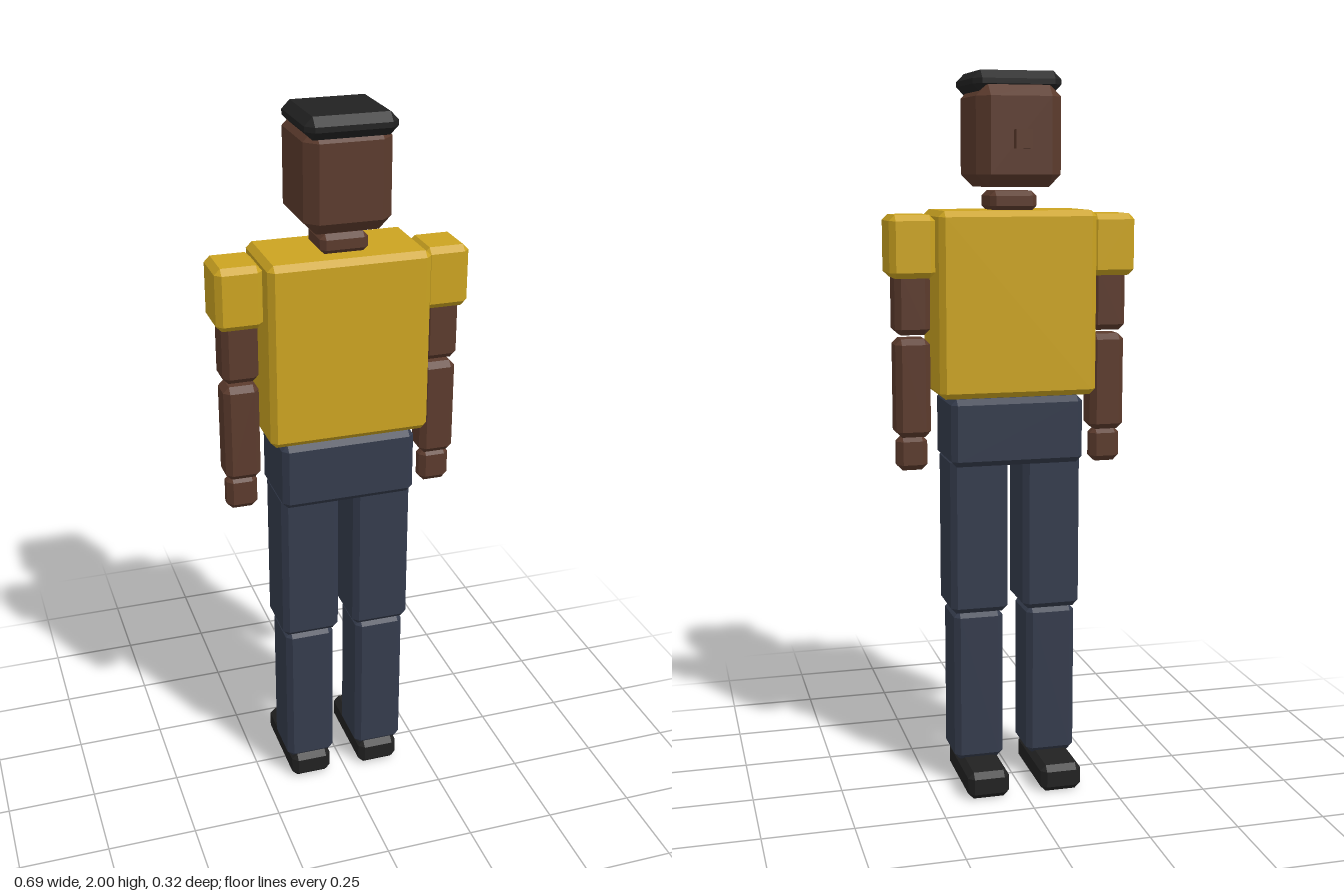
import * as THREE from 'three';
import { ConvexGeometry } from 'three/addons/geometries/ConvexGeometry.js';

const flat = (name, color) => {
  const m = new THREE.MeshStandardMaterial({ color });
  m.name = name;
  return m;
};

// Box with every edge cut off by a flat chamfer of width b
function chamferBox(w, h, d, b) {
  const points = [];
  for (const sx of [-1, 1]) for (const sy of [-1, 1]) for (const sz of [-1, 1]) {
    const [x, y, z] = [w / 2, h / 2, d / 2];
    points.push(
      new THREE.Vector3(sx * x, sy * (y - b), sz * (z - b)),
      new THREE.Vector3(sx * (x - b), sy * y, sz * (z - b)),
      new THREE.Vector3(sx * (x - b), sy * (y - b), sz * z)
    );
  }
  return new ConvexGeometry(points);
}

export function createModel() {
  const model = new THREE.Group();
  model.name = 'blockFigure';
  const skin = flat('brownSkin', 0x5c3b2d);
  const shirt = flat('mustardShirt', 0xcca421);
  const trousers = flat('navyTrousers', 0x353c4d);
  const black = flat('black', 0x222222);

  // Adds a block given its extents on each axis
  function block(parent, name, material, [x0, x1], [y0, y1], [z0, z1], bevel) {
    const [w, h, d] = [x1 - x0, y1 - y0, z1 - z0];
    const geometry = bevel ? chamferBox(w, h, d, bevel) : new THREE.BoxGeometry(w, h, d);
    const mesh = new THREE.Mesh(geometry, material);
    mesh.name = name;
    mesh.position.set((x0 + x1) / 2, (y0 + y1) / 2, (z0 + z1) / 2);
    parent.add(mesh);
  }

  // Head, with the face towards -z
  const head = new THREE.Group();
  head.name = 'headGroup';
  model.add(head);
  block(head, 'head', skin, [-0.117, 0.117], [1.695, 1.965], [-0.108, 0.143], 0.033);
  block(head, 'nose', skin, [-0.022, 0.022], [1.795, 1.845], [-0.137, -0.1], 0);
  block(head, 'hair', black, [-0.122, 0.122], [1.942, 2], [-0.08, 0.162], 0.022);
  block(head, 'neck', skin, [-0.065, 0.065], [1.63, 1.685], [-0.032, 0.095], 0.014);

  // Trunk
  block(model, 'torso', shirt, [-0.22, 0.22], [1.127, 1.633], [-0.091, 0.15], 0.016);
  block(model, 'pelvis', trousers, [-0.187, 0.187], [0.935, 1.124], [-0.077, 0.14], 0.016);

  // Arms and legs, one set per side
  for (const s of [-1, 1]) {
    const side = s > 0 ? 'left' : 'right';
    const span = (a, b) => (s > 0 ? [a, b] : [-b, -a]);

    const arm = new THREE.Group();
    arm.name = side + 'Arm';
    model.add(arm);
    block(arm, 'sleeve', shirt, span(0.219, 0.345), [1.452, 1.622], [-0.043, 0.1], 0.016);
    block(arm, 'upperArm', skin, span(0.23, 0.328), [1.297, 1.48], [-0.017, 0.08], 0.016);
    block(arm, 'forearm', skin, span(0.23, 0.327), [1.013, 1.286], [-0.013, 0.077], 0.016);
    block(arm, 'hand', skin, span(0.237, 0.323), [0.917, 1.015], [0.007, 0.06], 0.016);

    const leg = new THREE.Group();
    leg.name = side + 'Leg';
    model.add(leg);
    block(leg, 'thigh', trousers, span(0.022, 0.186), [0.51, 0.96], [-0.055, 0.117], 0.016);
    block(leg, 'shin', trousers, span(0.035, 0.176), [0.072, 0.512], [-0.045, 0.107], 0.016);
    block(leg, 'shoe', black, span(0.046, 0.164), [0, 0.077], [-0.163, 0.112], 0.016);
  }
  return model;
}
